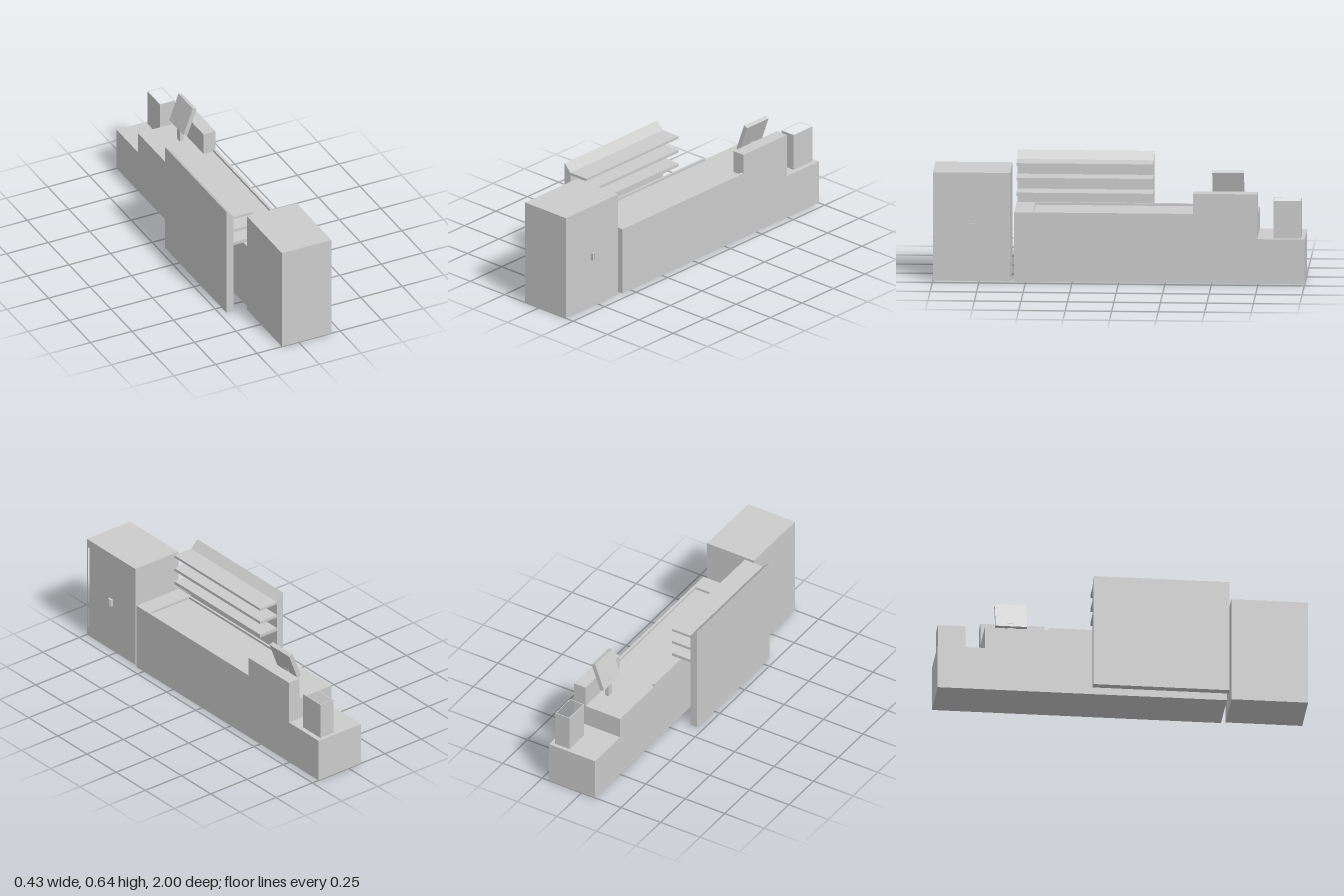
import * as THREE from 'three';

const mat = new THREE.MeshStandardMaterial({ color: 0xcccccc, flatShading: true });

function add(parent, name, geo) {
  const mesh = new THREE.Mesh(geo, mat);
  mesh.name = name;
  parent.add(mesh);
  return mesh;
}

// Box given by its limits on each axis
function box(parent, name, [x0, x1], [y0, y1], [z0, z1]) {
  const geo = new THREE.BoxGeometry(x1 - x0, y1 - y0, z1 - z0);
  geo.translate((x0 + x1) / 2, (y0 + y1) / 2, (z0 + z1) / 2);
  return add(parent, name, geo);
}

const corners = (a0, a1, b0, b1) => [[a0, b0], [a1, b0], [a1, b1], [a0, b1]];

function outline(points, holes) {
  const vec = (list) => list.map(([a, b]) => new THREE.Vector2(a, b));
  const shape = new THREE.Shape(vec(points));
  for (const h of holes) shape.holes.push(new THREE.Path(vec(h)));
  return shape;
}

// Outline in (z, y), extruded along x
function sidePlate(parent, name, [x0, x1], points, holes = []) {
  const flip = (list) => list.map(([z, y]) => [-z, y]);
  const geo = new THREE.ExtrudeGeometry(outline(flip(points), holes.map(flip)),
    { depth: x1 - x0, bevelEnabled: false });
  geo.rotateY(Math.PI / 2).translate(x0, 0, 0);
  return add(parent, name, geo);
}

// Outline in (x, z), extruded upwards
function floorPlate(parent, name, [y0, y1], points, holes = []) {
  const flip = (list) => list.map(([x, z]) => [x, -z]);
  const geo = new THREE.ExtrudeGeometry(outline(flip(points), holes.map(flip)),
    { depth: y1 - y0, bevelEnabled: false });
  geo.rotateX(-Math.PI / 2).translate(0, y0, 0);
  return add(parent, name, geo);
}

function group(parent, name) {
  const g = new THREE.Group();
  g.name = name;
  parent.add(g);
  return g;
}

// Two-door cabinet with recessed door panels and paired handles
function buildCabinet(root) {
  const g = group(root, 'cabinet');
  box(g, 'cabinetBody', [-0.1, 0.18], [0, 0.593], [0.585, 1]);
  sidePlate(g, 'doorFrame', [0.18, 0.197], corners(0.585, 1, 0, 0.593),
    [corners(0.6, 0.78, 0.055, 0.545), corners(0.81, 0.99, 0.055, 0.545)]);
  for (const z of [0.783, 0.797]) {
    box(g, 'doorHandle', [0.197, 0.213], [0.277, 0.318], [z - 0.005, z + 0.005]);
  }
}

// Stepped counter with a sunken worktop, rims and a raised screen wall
function buildCounter(root) {
  const g = group(root, 'counter');
  const width = [-0.085, 0.207];
  sidePlate(g, 'counterBody', width, [
    [-1, 0], [0.562, 0], [0.562, 0.38], [0.46, 0.38],
    [0.46, 0.352], [-0.745, 0.352], [-0.745, 0.245], [-1, 0.245],
  ]);
  floorPlate(g, 'worktop', [0.352, 0.367], corners(...width, -0.745, 0.46),
    [corners(-0.055, 0.056, -0.634, -0.485)]);
  box(g, 'leftRim', [0.192, 0.207], [0.367, 0.38], [-0.4, 0.46]);
  box(g, 'rightRim', [-0.085, -0.073], [0.367, 0.38], [-0.4, 0.46]);
  box(g, 'raisedWall', [0.135, 0.207], [0.367, 0.49], [-0.745, -0.4]);
}

// Tilted display on a short post, facing the operator's side
function buildDisplay(root) {
  const g = group(root, 'display');
  box(g, 'displayPost', [0.078, 0.1], [0.367, 0.475], [-0.605, -0.57]);
  const head = group(g, 'displayHead');
  head.position.set(0.0925, 0.5265, -0.585);
  head.rotation.z = -0.35;
  sidePlate(head, 'displayFrame', [0, 0.006], corners(-0.085, 0.085, -0.081, 0.081),
    [corners(-0.073, 0.073, -0.069, 0.069)]);
  box(head, 'displayScreen', [0.006, 0.025], [-0.081, 0.081], [-0.085, 0.085]);
}

// Open bin on the low end of the counter
function buildBin(root) {
  const g = group(root, 'bin');
  floorPlate(g, 'binWalls', [0.245, 0.45], corners(0.09, 0.18, -0.98, -0.83),
    [corners(0.095, 0.175, -0.975, -0.835)]);
  box(g, 'binFloor', [0.095, 0.175], [0.245, 0.252], [-0.975, -0.835]);
}

// Tall back panel with a sloped top edge and three shelves
function buildShelves(root) {
  const g = group(root, 'shelfUnit');
  const panel = new THREE.ExtrudeGeometry(
    outline([[-0.213, 0], [-0.17, 0], [-0.17, 0.597], [-0.213, 0.64]], []),
    { depth: 0.735, bevelEnabled: false });
  add(g, 'shelfPanel', panel.translate(0, 0, -0.172));
  for (const y of [[0.418, 0.436], [0.501, 0.517], [0.583, 0.597]]) {
    box(g, 'shelf', [-0.17, -0.055], y, [-0.172, 0.563]);
  }
}

export function createModel() {
  const root = new THREE.Group();
  root.name = 'serviceCounter';
  buildCabinet(root);
  buildCounter(root);
  buildDisplay(root);
  buildBin(root);
  buildShelves(root);
  return root;
}
